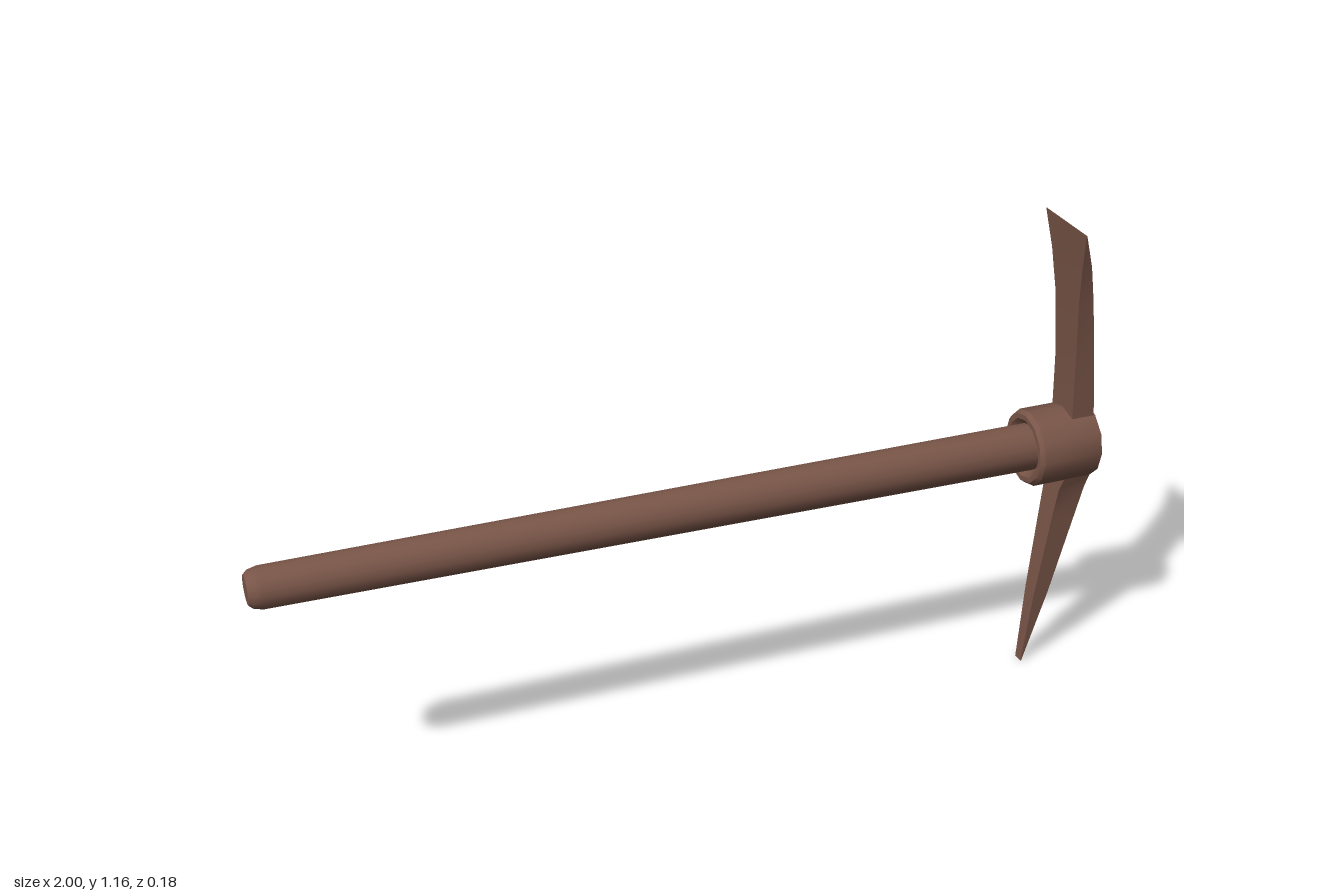
import * as THREE from 'three';
import { toCreasedNormals } from 'three/addons/utils/BufferGeometryUtils.js';

// Lathe profile of [along, radius] pairs, laid along +x
function turned(profile, sides) {
  const points = profile.map(([along, r]) => new THREE.Vector2(r, along));
  return new THREE.LatheGeometry(points, sides).rotateZ(-Math.PI / 2);
}

// Four-sided loft through [y, backX, frontX, halfWidth] sections, bottom to top
function blade(sections) {
  const positions = [];
  const index = [];
  for (const [y, x0, x1, w] of sections) {
    positions.push(x1, y, w, x1, y, -w, x0, y, -w, x0, y, w);
  }
  for (let i = 0; i < sections.length - 1; i++) {
    for (let j = 0; j < 4; j++) {
      const a = i * 4 + j;
      const b = i * 4 + (j + 1) % 4;
      index.push(a, b, b + 4, a, b + 4, a + 4);
    }
  }
  const t = (sections.length - 1) * 4;
  index.push(0, 2, 1, 0, 3, 2, t, t + 1, t + 2, t, t + 2, t + 3);
  const geometry = new THREE.BufferGeometry();
  geometry.setAttribute('position', new THREE.Float32BufferAttribute(positions, 3));
  geometry.setIndex(index);
  return geometry;
}

export function createModel() {
  const group = new THREE.Group();
  group.name = 'pickaxe';
  const brown = new THREE.MeshStandardMaterial({ color: 0x795548 });
  brown.name = 'brown';

  const add = (name, geometry, crease = 0.56) => {
    const mesh = new THREE.Mesh(toCreasedNormals(geometry, crease), brown);
    mesh.name = name;
    group.add(mesh);
  };

  // Tapered handle with bevelled ends, dropping slightly towards the head
  const handle = turned([
    [-1, 0], [-1, 0.033], [-0.99, 0.042], [-0.97, 0.047],
    [0.985, 0.057], [0.998, 0.045], [0.998, 0],
  ], 16);
  const p = handle.attributes.position;
  for (let i = 0; i < p.count; i++) p.setY(i, p.getY(i) + 0.61 - 0.01 * p.getX(i));
  add('handle', handle);

  // Hollow collar gripping the handle
  const collar = turned([
    [0.84, 0.05], [0.82, 0.072], [0.82, 0.084], [0.83, 0.092],
    [0.978, 0.092], [0.978, 0.05],
  ], 12).translate(0, 0.6, 0);
  add('collar', collar);

  // Flared cutting blade above the collar
  add('adzeBlade', blade([
    [0.62, 0.917, 0.978, 0.046],
    [0.68, 0.917, 0.974, 0.046],
    [0.82, 0.912, 0.96, 0.046],
    [0.975, 0.9, 0.938, 0.053],
    [1.07, 0.891, 0.915, 0.068],
    [1.158, 0.88, 0.881, 0.09],
  ]));

  // Narrow spike below the collar
  add('spike', blade([
    [0, 0.858, 0.86, 0.013],
    [0.195, 0.874, 0.912, 0.021],
    [0.41, 0.898, 0.96, 0.03],
    [0.485, 0.907, 0.976, 0.034],
    [0.522, 0.91, 0.978, 0.048],
    [0.58, 0.91, 0.978, 0.06],
  ]));

  return group;
}
